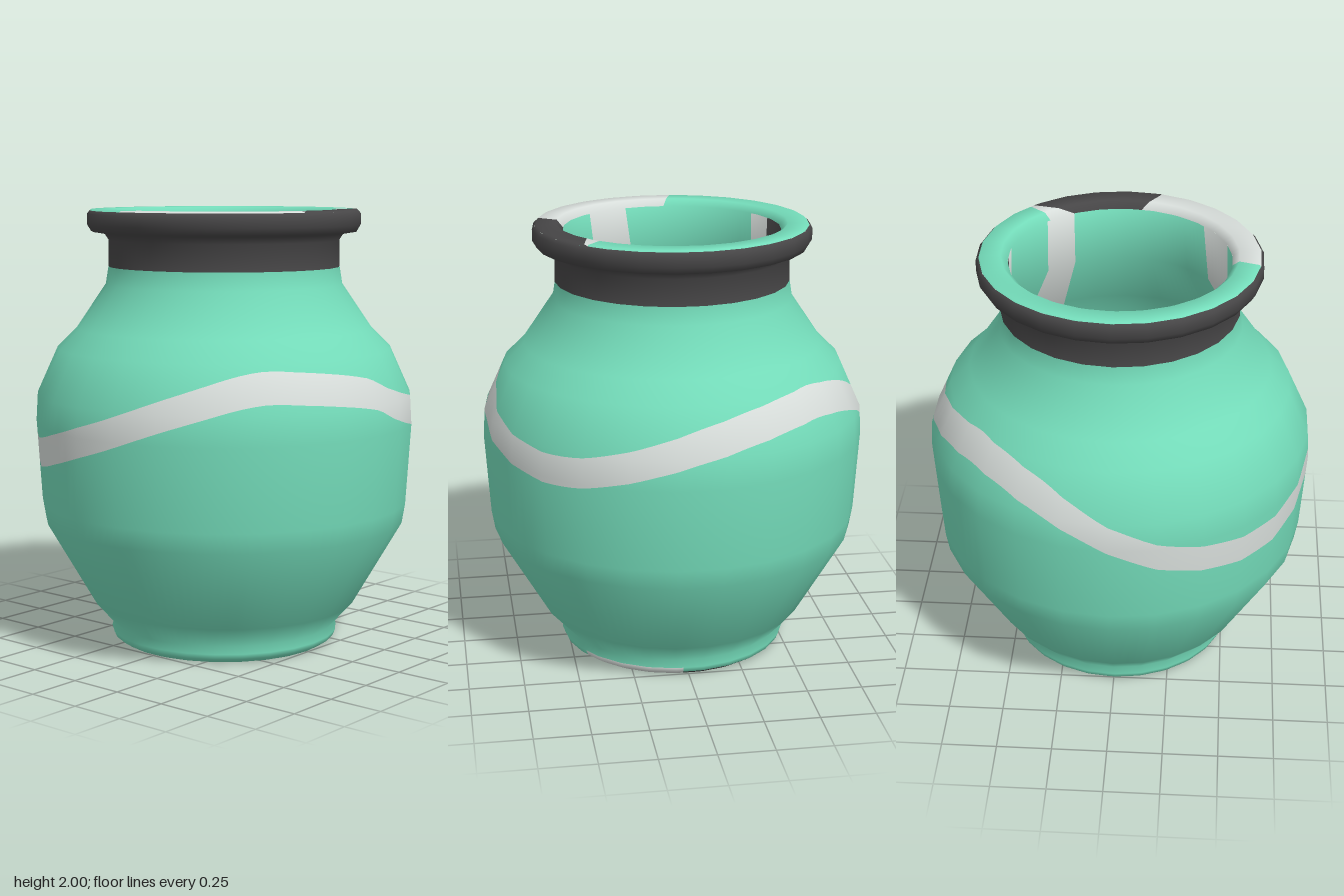
import * as THREE from 'three';

const SIDES = 26, DEG = Math.PI / 180;
const green = new THREE.MeshStandardMaterial({ name: 'mint glaze', color: 0x74dcba });
const white = new THREE.MeshStandardMaterial({ name: 'pale grey glaze', color: 0xd8dedb });
const dark = new THREE.MeshStandardMaterial({ name: 'charcoal glaze', color: 0x474647 });

// Profile [radius, height]: foot, up the outside, over the rim, down the inside
const P = [
  [0.4, 0], [0.49, 0], [0.52, 0.02], [0.53, 0.045], [0.52, 0.08], [0.61, 0.18],
  [0.835, 0.57], [0.85, 0.66], [0.873, 1.03], [0.865, 1.16], [0.77, 1.37],
  [0.68, 1.46], [0.545, 1.66], [0.532, 1.74], [0.53, 1.86], [0.55, 1.89],
  [0.61, 1.9], [0.628, 1.93], [0.628, 1.98], [0.61, 2], [0.52, 2], [0.49, 1.97],
  [0.49, 1.72], [0.63, 1.44], [0.81, 1.13], [0.79, 0.66], [0.77, 0.58], [0.49, 0.16],
];
const LAST = P.length - 1;

// Smooth profile normal at each knot
const segNormal = (i) => {
  const a = P[i], b = P[i + 1];
  return new THREE.Vector2(b[1] - a[1], a[0] - b[0]).normalize();
};
const N = P.map((_, i) =>
  segNormal(Math.max(i - 1, 0)).add(segNormal(Math.min(i, LAST - 1))).normalize());

// Point and normal at profile position u and angle a (radians)
function surface(u, a) {
  const i = Math.min(Math.floor(u), LAST - 1), f = u - i;
  const step = (2 * Math.PI) / SIDES;
  const local = a - Math.floor(a / step) * step - step / 2;
  const facet = Math.cos(step / 2) / Math.cos(local);
  const r = THREE.MathUtils.lerp(P[i][0], P[i + 1][0], f) * facet;
  const n = N[i].clone().lerp(N[i + 1], f).normalize();
  const c = Math.cos(a), s = Math.sin(a);
  return {
    p: [r * c, THREE.MathUtils.lerp(P[i][1], P[i + 1][1], f), r * s],
    n: [n.x * c, n.y, n.x * s],
  };
}

// Grid of points from fn(column, row)
function grid(cols, rows, fn) {
  const pos = [], nor = [], idx = [];
  for (let c = 0; c <= cols; c++) {
    for (let r = 0; r <= rows; r++) {
      const v = fn(c, r);
      pos.push(...v.p);
      nor.push(...v.n);
      if (c === cols || r === rows) continue;
      const a = c * (rows + 1) + r, b = a + rows + 1;
      idx.push(a, a + 1, b, b, a + 1, b + 1);
    }
  }
  const g = new THREE.BufferGeometry();
  g.setAttribute('position', new THREE.Float32BufferAttribute(pos, 3));
  g.setAttribute('normal', new THREE.Float32BufferAttribute(nor, 3));
  g.setIndex(idx);
  return g;
}

// Part of the revolved wall; limits u0, u1 are numbers or functions of the angle,
// start and end are angle pairs [at u0, at u1] in degrees
function wall(u0, u1, start = [0, 0], end = [360, 360]) {
  const low = typeof u0 === 'function' ? u0 : () => u0;
  const high = typeof u1 === 'function' ? u1 : () => u1;
  const span = Math.max(end[0] - start[0], end[1] - start[1]);
  const cols = Math.max(4, Math.round((span / 360) * SIDES * 4));
  const all = Array.from({ length: cols + 1 }, (_, c) => {
    const a = THREE.MathUtils.lerp(start[0], end[0], c / cols);
    return [low(a), high(a)];
  });
  const first = Math.floor(Math.min(...all.map((v) => v[0])));
  const rows = Math.ceil(Math.max(...all.map((v) => v[1]))) - first;
  return grid(cols, rows, (c, r) => {
    const [lo, hi] = all[c];
    const u = THREE.MathUtils.clamp(first + r, lo, hi);
    const t = (u - lo) / (hi - lo), f = c / cols;
    const a0 = THREE.MathUtils.lerp(start[0], start[1], t);
    const a1 = THREE.MathUtils.lerp(end[0], end[1], t);
    return surface(u, THREE.MathUtils.lerp(a0, a1, f) * DEG);
  });
}

// Wavy stripe: [angle, height] of its centre line
const WAVE = [
  [0, 1.215], [27, 1.265], [42, 1.265], [65, 1.17], [90, 1.04], [120, 0.92], [136, 0.905],
  [150, 0.93], [166, 0.99], [182, 1.1], [202, 1.24], [225, 1.31], [245, 1.29], [266, 1.23],
  [290, 1.13], [308, 1.075], [322, 1.075], [347, 1.145],
];
function waveHeight(a) {
  const n = WAVE.length;
  const at = (i) => {
    const k = ((i % n) + n) % n;
    return [WAVE[k][0] + 360 * Math.floor(i / n), WAVE[k][1]];
  };
  let i = 0;
  while (i < n - 1 && at(i + 1)[0] <= a) i++;
  const [p, q, r, s] = [at(i - 1), at(i), at(i + 1), at(i + 2)];
  const h = r[0] - q[0], t = (a - q[0]) / h;
  const m0 = ((r[1] - p[1]) / (r[0] - p[0])) * h, m1 = ((s[1] - q[1]) / (s[0] - q[0])) * h;
  return (2 * t ** 3 - 3 * t * t + 1) * q[1] + (t ** 3 - 2 * t * t + t) * m0
    + (3 * t * t - 2 * t ** 3) * r[1] + (t ** 3 - t * t) * m1;
}
// Profile position of a height on the outside
function uAt(y) {
  let i = 4;
  while (P[i + 1][1] < y) i++;
  return i + (y - P[i][1]) / (P[i + 1][1] - P[i][1]);
}
const bandLow = (a) => uAt(waveHeight(a) - 0.067);
const bandHigh = (a) => uAt(waveHeight(a) + 0.067);

// Strip of the bowl-shaped inner floor between two parallel lines
function floorStrip(q0, q1) {
  const R = 0.5, k = 0.42, ca = Math.cos(24 * DEG), sa = Math.sin(24 * DEG);
  return grid(16, 24, (c, r) => {
    const q = THREE.MathUtils.lerp(q0, q1, c / 16);
    const s = Math.sqrt(Math.max(0, R * R - q * q)) * (r / 12 - 1);
    const x = q * ca - s * sa, z = q * sa + s * ca;
    const n = new THREE.Vector3(-2 * k * x, 1, -2 * k * z).normalize();
    return { p: [x, 0.06 + k * (x * x + z * z), z], n: n.toArray() };
  });
}

// Underside piece: full disc or circle segment, facing down
function underside(from, to, y) {
  const shape = new THREE.Shape();
  const steps = Math.round((to - from) / 5);
  for (let i = 0; i <= steps; i++) {
    const { p } = surface(1, THREE.MathUtils.lerp(from, to, i / steps) * DEG);
    if (i === 0) shape.moveTo(p[0], p[2]);
    else shape.lineTo(p[0], p[2]);
  }
  return new THREE.ShapeGeometry(shape).rotateX(Math.PI / 2).translate(0, y, 0);
}

export function createModel() {
  const vase = new THREE.Group();
  vase.name = 'vase';
  const add = (name, geometry, material) => {
    const mesh = new THREE.Mesh(geometry, material);
    mesh.name = name;
    vase.add(mesh);
  };

  // Foot with glaze patches
  add('underside', underside(0, 360, 0.003), green);
  add('undersidePalePatch', underside(-100, -32, 0.0015), white);
  add('undersideDarkPatch', underside(-167, -87, 0), dark);
  add('foot', wall(1, 3, [-32, -32], [193, 193]), green);
  add('footPalePatch', wall(1, 3, [-87, -87], [-32, -32]), white);
  add('footDarkPatch', wall(1, 2, [-167, -167], [-87, -87]), dark);
  add('footUpperEdge', wall(2, 3, [-167, -167], [-87, -87]), green);

  // Body, wavy stripe, collar
  add('lowerBody', wall(3, bandLow), green);
  add('wavyStripe', wall(bandLow, bandHigh), white);
  add('shoulder', wall(bandHigh, 13), green);
  add('collar', wall(13, 18.7), dark);

  // Rim top
  add('rimTop', wall(18.7, 21, [98, 94], [314, 316]), green);
  add('rimPaleWedge', wall(18.7, 21, [-46, -44], [-46, -29]), white);
  add('rimDarkPatch', wall(18.7, 21, [-46, -29], [16, 8]), dark);
  add('rimPalePatch', wall(18.7, 21, [16, 8], [98, 94]), white);

  // Inner wall: upright glaze patches, each starting where the last one ends
  const inner = [
    [white, [47, 76]], [green, [72, 97]], [white, [148, 152]], [dark, [163, 153]],
    [white, [268, 253]], [green, [278, 257]], [white, [314, 311]], [green, [331, 332]],
  ];
  inner.forEach(([material, start], i) => {
    const end = i + 1 < inner.length ? inner[i + 1][1] : [407, 436];
    add('innerWall' + (i + 1), wall(21, LAST, start, end), material);
  });

  // Inner floor
  add('floorDarkPatch', floorStrip(-0.5, -0.31), dark);
  add('floorMiddle', floorStrip(-0.31, 0.14), green);
  add('floorPaleStripe', floorStrip(0.14, 0.3), white);
  add('floorEdge', floorStrip(0.3, 0.5), green);
  return vase;
}
